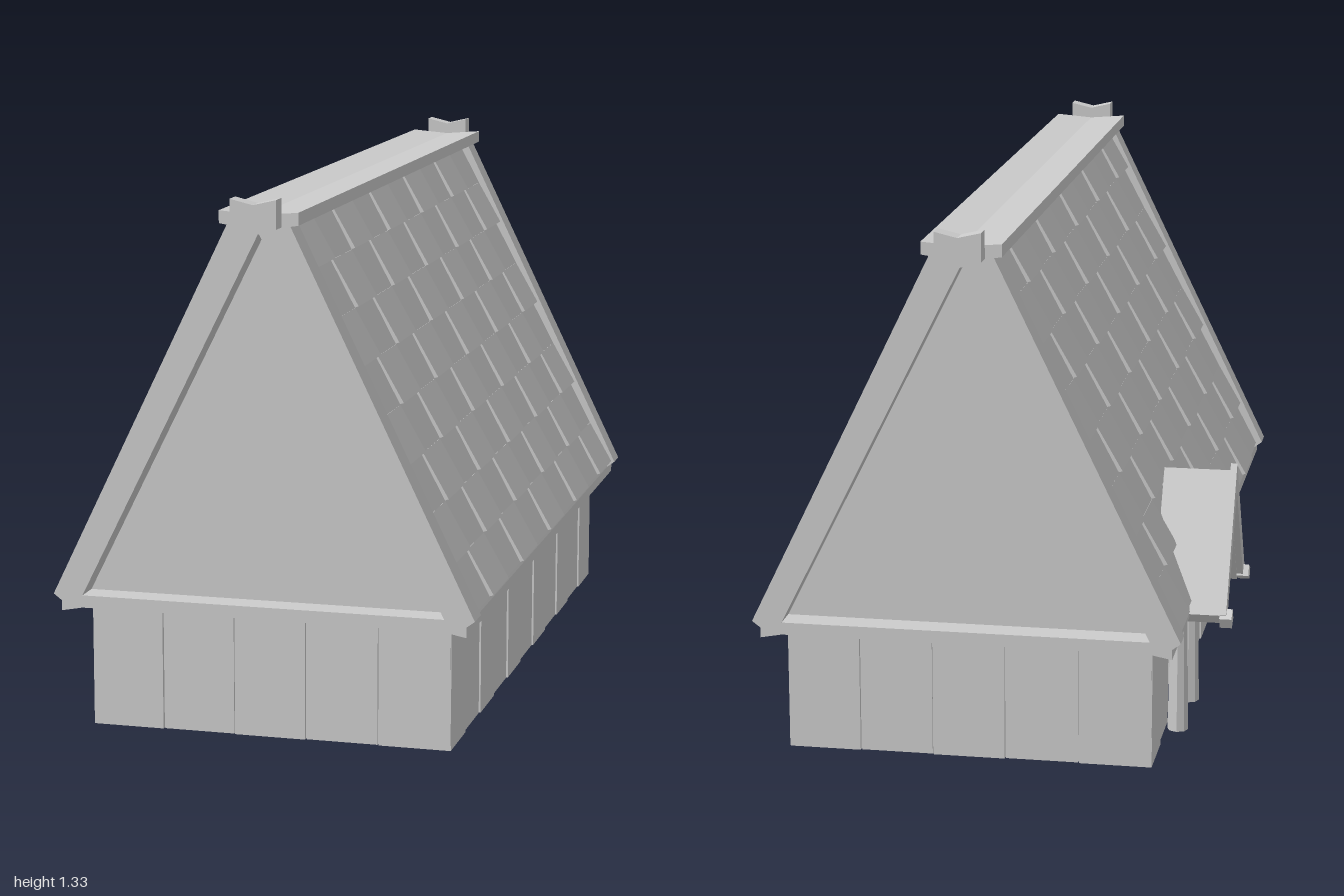
import * as THREE from 'three';

const CX = 0.04;        // ridge line of the house
const DOOR_Z = -0.438;  // centre of the porch

export function createModel() {
  const house = new THREE.Group();
  house.name = 'house';
  const mat = new THREE.MeshStandardMaterial({ color: 0xcccccc, flatShading: true });

  const add = (parent, name, geo, x = 0, y = 0, z = 0) => {
    const m = new THREE.Mesh(geo, mat);
    m.name = name;
    m.position.set(x, y, z);
    parent.add(m);
    return m;
  };
  const group = (name) => {
    const g = new THREE.Group();
    g.name = name;
    house.add(g);
    return g;
  };
  const shapeOf = (pts) => new THREE.Shape(pts.map(([x, y]) => new THREE.Vector2(x, y)));
  const extrude = (shape, depth) =>
    new THREE.ExtrudeGeometry(shape, { depth, bevelEnabled: false });
  // half profile (from the bottom up to the middle) mirrored about x = 0
  const mirrored = (pts) => [...pts, ...pts.slice().reverse().map(([x, y]) => [-x, y])];
  // box given by its limits
  const block = (parent, name, x0, x1, y0, y1, z0, z1) =>
    add(parent, name, new THREE.BoxGeometry(x1 - x0, y1 - y0, z1 - z0),
      (x0 + x1) / 2, (y0 + y1) / 2, (z0 + z1) / 2);

  // wall core: floor plan with a doorway recess on the right side
  const dz0 = -0.565, dz1 = -0.295;
  const plan = shapeOf([
    [-0.39, 0.88], [0.475, 0.88], [0.475, -0.88], [-0.39, -0.88],
    [-0.39, dz0], [-0.24, dz0], [-0.24, dz1], [-0.39, dz1],
  ].map(([x, z]) => [x, -z]));
  const core = extrude(plan, 0.305);
  core.rotateX(-Math.PI / 2);
  add(house, 'wallCore', core, 0, 0.025, 0);

  // upright wall planks, every other one set back slightly
  const planks = group('wallPlanks');
  const y0 = 0.025, y1 = 0.335, gap = 0.0015;
  for (let i = 0; i < 11; i++) {
    const w = 1.78 / 11, a = -0.89 + i * w, b = a + w, d = (i % 2) * 0.004;
    block(planks, 'sidePlank', 0.47, 0.485 - d, y0, y1, a + gap, b - gap);
    if (i === 2) continue;
    const start = i === 3 ? dz1 : a;
    block(planks, 'sidePlank', -0.40 + d, -0.388, y0, y1, start + gap, b - gap);
  }
  for (let i = 0; i < 5; i++) {
    const w = 0.885 / 5, a = -0.40 + i * w, d = (i % 2) * 0.004;
    for (const s of [-1, 1]) {
      const zs = [s * 0.875, s * (0.89 - d)].sort((p, q) => p - q);
      block(planks, 'endPlank', a + gap, a + w - gap, y0, y1, zs[0], zs[1]);
    }
  }

  // solid roof body, which also closes the gables
  const body = mirrored([[0.4425, 0.33], [0.495, 0.32], [0.495, 0.345], [0.047, 1.265]]);
  add(house, 'roofBody', extrude(shapeOf(body), 1.78), CX, 0, -0.89);

  // gable frames with a triangular opening
  const frame = shapeOf(mirrored([
    [0.4425, 0.33], [0.495, 0.32], [0.495, 0.345], [0.515, 0.36], [0.075, 1.265],
  ]));
  frame.holes.push(new THREE.Path(
    [[-0.4425, 0.36], [0, 1.245], [0.4425, 0.36]].map(([x, y]) => new THREE.Vector2(x, y))));
  for (const z of [-0.955, 0.89]) add(house, 'gableFrame', extrude(frame, 0.065), CX, 0, z);

  // shingles: wedges in a checkerboard of two thicknesses
  const shingles = group('shingles');
  const rows = 8, cols = 10, top = 1.265, rowH = (top - 0.355) / rows, colW = 1.78 / cols;
  const slope = 0.448 / 0.92;
  const uAt = (y) => 0.495 - (y - 0.345) * slope;
  for (const side of [-1, 1]) {
    for (let r = 0; r < rows; r++) {
      const a = top - r * rowH, b = a - rowH;
      for (let c = 0; c < cols; c++) {
        const t = (r + c) % 2 ? 0.016 : 0.008;
        const tile = shapeOf([
          [uAt(a) - 0.004, a], [uAt(b) - 0.004, b],
          [uAt(b) + t, b + t * 0.45], [uAt(a) + t * 0.5, a + t * 0.2],
        ].map(([u, y]) => [side * u, y]));
        add(shingles, 'shingle', extrude(tile, colW - 0.003), CX, 0, -0.89 + c * colW + 0.0015);
      }
    }
  }

  // ridge cap and its end pieces
  const cap = mirrored([[0, 1.25], [0.095, 1.265], [0.095, 1.295], [0, 1.287]]);
  add(house, 'ridgeCap', extrude(shapeOf(cap), 1.91), CX, 0, -0.955);
  const finial = mirrored([[0, 1.245], [0.055, 1.26], [0.055, 1.328], [0, 1.315]]);
  for (const z of [-1, 0.955]) add(house, 'ridgeEnd', extrude(shapeOf(finial), 0.045), CX, 0, z);

  // porch: small gabled roof running out of the main roof
  const porch = group('porch');
  const chevron = (name, pts, xBack, xFront) => {
    const g = extrude(shapeOf(pts), xBack - xFront);
    g.rotateY(-Math.PI / 2);
    add(porch, name, g, xBack, 0, DOOR_Z);
  };
  chevron('porchRoof', [
    [-0.2, 0.33], [-0.18, 0.305], [0, 0.595], [0.18, 0.305], [0.2, 0.33], [0, 0.642],
  ], -0.365, -0.53);
  chevron('porchBargeboard', [
    [-0.208, 0.335], [-0.178, 0.315], [0, 0.59], [0.178, 0.315], [0.208, 0.335], [0, 0.66],
  ], -0.53, -0.546);
  for (const s of [-1, 1]) {
    // eave feet, wall plates and posts
    const foot = add(porch, 'porchFoot', new THREE.BoxGeometry(0.03, 0.03, 0.035),
      -0.545, 0.322, DOOR_Z + s * 0.194);
    foot.rotation.x = s * 0.5;
    const post = new THREE.CylinderGeometry(0.02, 0.026, 0.33, 8);
    add(porch, 'porchPost', post, -0.419, 0.165, DOOR_Z + s * 0.109);
  }
  block(porch, 'porchLintel', -0.437, -0.4, 0.305, 0.33, DOOR_Z - 0.17, DOOR_Z + 0.17);

  return house;
}
